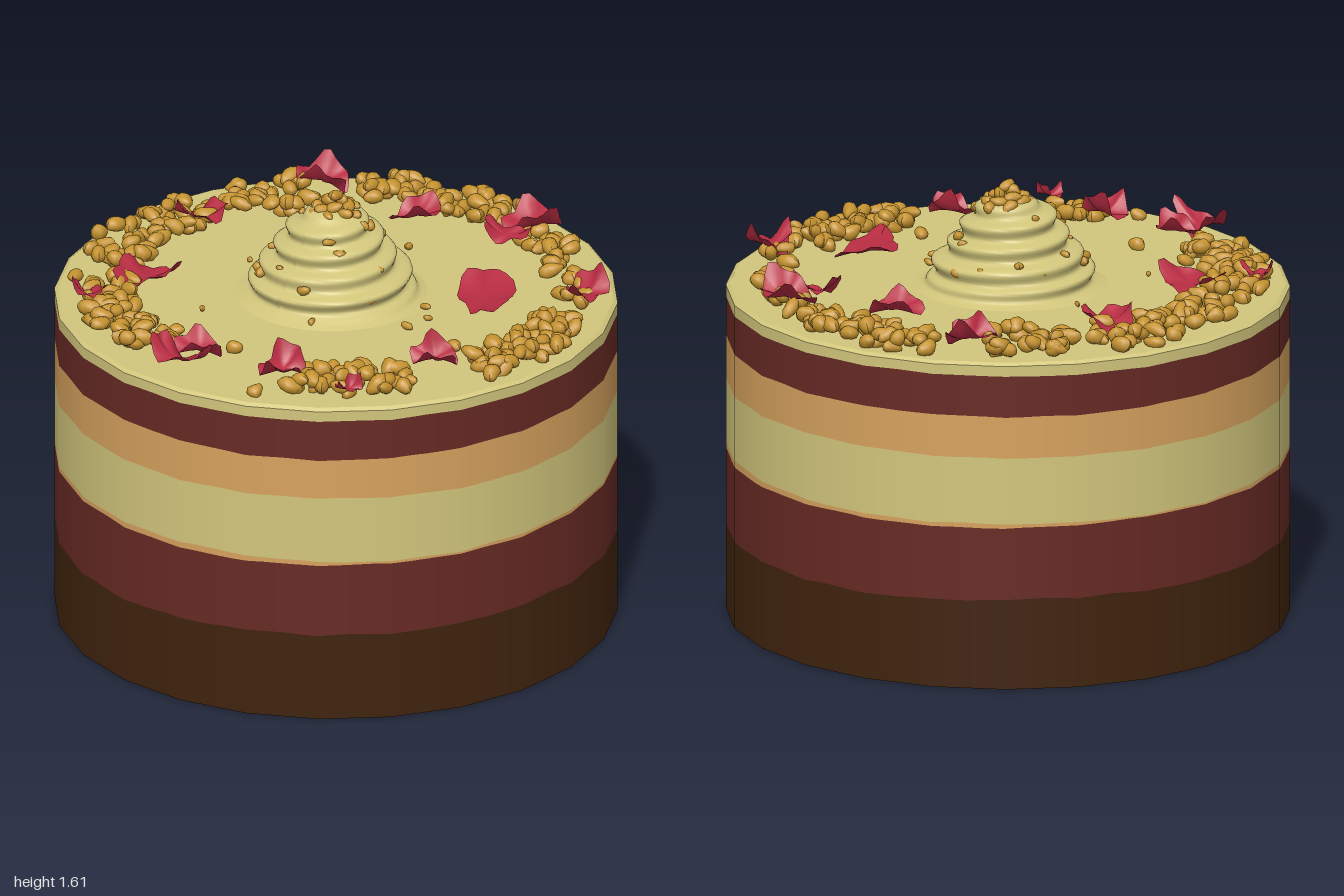
import * as THREE from 'three';
import { mergeGeometries } from 'three/addons/utils/BufferGeometryUtils.js';

const SIDES = 24, STEP = (Math.PI * 2) / SIDES, CORNER = 1 / Math.cos(STEP / 2), TOP = 1.215;

const mat = (name, color, side = THREE.FrontSide) => {
  const m = new THREE.MeshStandardMaterial({ color, side });
  m.name = name;
  return m;
};

// Small seeded random generator
let seed = 7;
const rand = (a = 0, b = 1) => {
  seed = (seed * 16807) % 2147483647;
  return a + (b - a) * (seed / 2147483647);
};

// Uneven height of a layer boundary around the cake
const wobble = (a, k, amp) =>
  amp * (Math.sin(2 * a + k) + 0.5 * Math.sin(5 * a + 2 * k) + 0.3 * Math.sin(17 * a + k) + 0.2 * Math.sin(29 * a + 3 * k));

// Distance from the axis to the 24-sided outline at angle a
const outline = (a) => {
  const d = a - Math.round(a / STEP) * STEP;
  return 1 / Math.cos(d);
};

// One layer: an open wall between two uneven boundaries [height, wobble seed, wobble size]
function layerWall(low, high) {
  const g = new THREE.CylinderGeometry(1, 1, 1, 96, 1, true);
  const p = g.attributes.position;
  for (let i = 0; i < p.count; i++) {
    const a = Math.atan2(p.getZ(i), p.getX(i)), r = outline(a);
    const [h, k, amp] = p.getY(i) > 0 ? high : low;
    p.setXYZ(i, Math.cos(a) * r, h + wobble(a, k, amp), Math.sin(a) * r);
  }
  return g;
}

// Lumpy nut piece, with its position and turn baked in
function nut(x, y, z, size = 1) {
  const g = new THREE.SphereGeometry(1, 9, 7);
  const p = g.attributes.position, bend = rand(-0.35, 0.35), taper = rand(-0.3, 0.3), lump = rand(0, 6);
  for (let i = 0; i < p.count; i++) {
    const px = p.getX(i), py = p.getY(i), pz = p.getZ(i);
    const s = 1 + taper * px + 0.1 * Math.sin(3 * px + 2 * py + lump);
    p.setXYZ(i, px, py * s, pz * s + bend * px * px);
  }
  const o = new THREE.Object3D();
  o.position.set(x, y, z);
  o.rotation.set(rand(-0.4, 0.4), rand(0, 6.28), rand(-0.4, 0.4));
  o.scale.set(rand(0.034, 0.05), rand(0.022, 0.03), rand(0.024, 0.032)).multiplyScalar(size);
  o.updateMatrix();
  g.applyMatrix4(o.matrix);
  g.computeVertexNormals();
  return g;
}

// Curled petal: a disc with cupped, rippled edges
function petal(width, length, cup, phase) {
  const g = new THREE.RingGeometry(0.001, 1, 24, 5).rotateX(-Math.PI / 2);
  const p = g.attributes.position;
  for (let i = 0; i < p.count; i++) {
    const x = p.getX(i), z = p.getZ(i), a = Math.atan2(z, x), r = Math.hypot(x, z);
    const edge = 1 + 0.1 * Math.sin(3 * a + phase) + 0.06 * Math.sin(7 * a + phase * 2);
    const y = cup * r * r * (0.45 + 0.5 * Math.sin(2 * a + phase) + 0.25 * Math.sin(5 * a + phase));
    p.setXYZ(i, x * edge * width / 2, y, z * edge * length / 2 * (1 - 0.2 * x));
  }
  g.computeVertexNormals();
  return g;
}

export function createModel() {
  seed = 7;
  const cake = new THREE.Group();
  cake.name = 'layerCake';
  const cream = mat('cream', 0xd2c67c), caramel = mat('caramel', 0xd6a25e);
  const redSponge = mat('redSponge', 0x672a24), chocolate = mat('chocolate', 0x40230d);
  const nutMat = mat('nut', 0xc4922f), petalMat = mat('petal', 0xb82c42, THREE.DoubleSide);
  const add = (name, geometry, material, parent = cake) => {
    const m = new THREE.Mesh(geometry, material);
    m.name = name;
    parent.add(m);
    return m;
  };

  // Layers, from the bottom up
  const bounds = [[0, 0, 0], [0.325, 1, 0.007], [0.602, 2, 0.003], [0.617, 4, 0.004],
    [0.862, 5, 0.003], [1.018, 3, 0.003], [1.165, 6, 0.002], [1.205, 0, 0]];
  const layers = [['chocolateBase', chocolate], ['lowerRedLayer', redSponge], ['thinCaramelLine', caramel],
    ['creamLayer', cream], ['caramelLayer', caramel], ['upperRedLayer', redSponge], ['frostingWall', cream]];
  layers.forEach(([name, m], i) => add(name, layerWall(bounds[i], bounds[i + 1]), m));

  // Underside, frosting rim and top
  add('underside', new THREE.CircleGeometry(CORNER, SIDES, STEP / 2).rotateX(Math.PI / 2), chocolate);
  const rim = new THREE.CylinderGeometry(CORNER * 0.985, CORNER, 0.01, SIDES, 1, true, STEP / 2);
  add('frostingRim', rim, cream).position.y = 1.21;
  add('frostingTop', new THREE.CircleGeometry(CORNER * 0.985, SIDES, STEP / 2).rotateX(-Math.PI / 2), cream).position.y = TOP;

  // Piped swirl with a spiral ridge
  const profile = new THREE.CatmullRomCurve3([[0.35, 1.212], [0.3, 1.235], [0.275, 1.3], [0.225, 1.36], [0.185, 1.42],
    [0.145, 1.48], [0.09, 1.53], [0.0, 1.555]].map(([r, y]) => new THREE.Vector3(r, y, 0)));
  const swirl = new THREE.LatheGeometry(profile.getPoints(56).map((v) => new THREE.Vector2(Math.max(v.x, 0), v.y)), 56);
  const sp = swirl.attributes.position;
  for (let i = 0; i < sp.count; i++) {
    const x = sp.getX(i), y = sp.getY(i), z = sp.getZ(i), t = (y - 1.212) / 0.343;
    const wave = Math.sin(t * 5 * Math.PI * 2 + Math.atan2(z, x)) * Math.min(1, t * 6, (1 - t) * 5);
    const s = 1 + 0.016 * wave / Math.max(Math.hypot(x, z), 0.06);
    sp.setXYZ(i, x * s - 0.02, y + 0.006 * wave, z * s);
  }
  swirl.computeVertexNormals();
  add('creamSwirl', swirl, cream);

  // Nut clusters round the edge: start and end angle (from +x towards +z), inner and outer radius, count
  const nuts = new THREE.Group();
  nuts.name = 'nuts';
  cake.add(nuts);
  [[235, 275, 0.77, 0.95, 52], [284, 313, 0.78, 0.9, 20], [320, 328, 0.8, 0.93, 5], [336, 372, 0.76, 0.95, 52],
    [30, 60, 0.72, 0.9, 32], [97, 143, 0.73, 0.94, 64], [150, 195, 0.73, 0.95, 52], [200, 222, 0.68, 0.93, 28]]
    .forEach(([a0, a1, r0, r1, n], c) => {
      const list = [];
      for (let i = 0; i < n; i++) {
        const a = THREE.MathUtils.degToRad(a0 + (a1 - a0) * (i + rand()) / n), r = rand(r0, r1);
        list.push(nut(Math.cos(a) * r, rand(1.228, 1.268), Math.sin(a) * r));
      }
      add('nutCluster' + (c + 1), mergeGeometries(list), nutMat, nuts);
    });

  // Loose nuts on the frosting
  const loose = [[0.06, 0.62, 0.9], [-0.2, 0.64, 0.9], [-0.32, 0.64, 0.9], [0.64, 0.09, 0.8], [0.4, 0.07, 0.6], [0.41, -0.03, 0.4],
    [-0.05, -0.45, 0.5], [-0.4, 0.01, 0.35], [-0.25, 0.44, 0.35], [0.36, 0.85, 0.9], [0.34, -0.1, 0.5], [0.12, 0.27, 0.5], [-0.5, -0.45, 1]];
  add('looseNuts', mergeGeometries(loose.map(([x, z, s]) => nut(x, 1.23, z, s))), nutMat, nuts);

  // Nuts scattered on the swirl and heaped on its tip
  const onSwirl = [];
  for (let i = 0; i < 18; i++) {
    const v = profile.getPoint(rand(0.2, 0.8)), a = i * 2.4;
    onSwirl.push(nut(Math.cos(a) * v.x - 0.02, v.y, Math.sin(a) * v.x, rand(0.4, 0.65)));
  }
  for (let i = 0; i < 16; i++) {
    const a = i * 2.4, r = 0.022 * Math.sqrt(i);
    onSwirl.push(nut(Math.cos(a) * r - 0.02, 1.585 - r * 0.75, Math.sin(a) * r - 0.02, 0.8));
  }
  add('swirlNuts', mergeGeometries(onSwirl), nutMat, nuts);

  // Petals: x, z, width, length, turn, cup depth
  const petals = new THREE.Group();
  petals.name = 'petals';
  cake.add(petals);
  [[0.22, -0.83, 0.22, 0.18, 0.2, 0.08], [0.2, -0.7, 0.18, 0.1, 0.4, 0.06], [-0.15, -0.62, 0.2, 0.14, 1.4, 0.06],
    [-0.6, -0.62, 0.2, 0.15, 0.3, 0.08], [0.75, -0.5, 0.2, 0.15, -1, 0.08], [0.5, -0.24, 0.36, 0.19, -0.95, 0.04],
    [-0.73, -0.1, 0.2, 0.17, 0, 0.06], [0.71, 0.27, 0.18, 0.12, 0.2, 0.07], [-0.53, 0.42, 0.23, 0.2, 0.5, 0.06],
    [-0.6, 0.67, 0.14, 0.09, 0, 0.05], [0.36, 0.7, 0.17, 0.16, 0.5, 0.08], [0.03, 0.77, 0.2, 0.12, 0, 0.06],
    [0.02, 0.88, 0.24, 0.13, 0, 0.08], [0.65, 0.67, 0.1, 0.08, 0.7, 0.05]]
    .forEach(([x, z, w, l, turn, cup], i) => {
      const m = add('petal' + (i + 1), petal(w, l, cup, i * 1.7), petalMat, petals);
      m.position.set(x, 1.265, z);
      m.rotation.set(0.25 * Math.sin(i * 2), turn, 0.2 * Math.cos(i * 3));
    });
  return cake;
}
